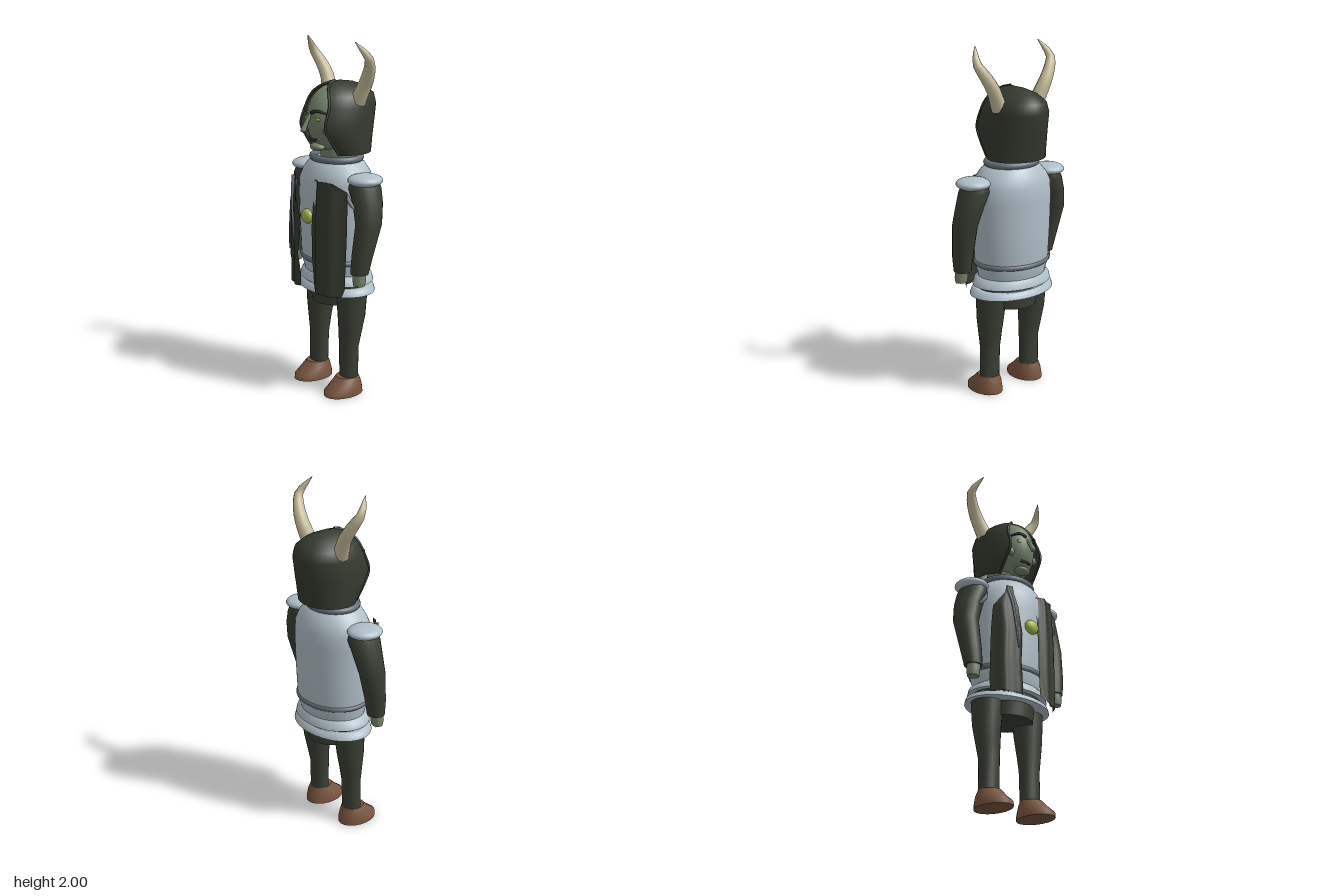
import * as THREE from 'three';

const paint = (name, color, side = THREE.FrontSide) => {
  const m = new THREE.MeshStandardMaterial({ color, side });
  m.name = name;
  return m;
};

// Stacked elliptical rings [y, cx, cz, rx, rz], capped at both ends
function loft(rings, sides = 24) {
  const pos = [], idx = [];
  const addRing = ([y, cx, cz, rx, rz]) => {
    const start = pos.length / 3;
    for (let j = 0; j < sides; j++) {
      const a = (j / sides) * Math.PI * 2;
      pos.push(cx + rx * Math.cos(a), y, cz + rz * Math.sin(a));
    }
    return start;
  };
  rings.forEach(r => addRing(r));
  for (let i = 0; i < rings.length - 1; i++) {
    for (let j = 0; j < sides; j++) {
      const a = i * sides + j, b = i * sides + (j + 1) % sides;
      idx.push(a, a + sides, b, b, a + sides, b + sides);
    }
  }
  [rings[0], rings[rings.length - 1]].forEach((r, top) => {
    const s = addRing(r), c = pos.length / 3;
    pos.push(r[1], r[0], r[2]);
    for (let j = 0; j < sides; j++) {
      const a = s + j, b = s + (j + 1) % sides;
      idx.push(c, top ? b : a, top ? a : b);
    }
  });
  return finish(pos, idx);
}

// Open surface through equal-length rows of points
function sheet(rows) {
  const n = rows[0].length, idx = [];
  for (let i = 0; i < rows.length - 1; i++) {
    for (let j = 0; j < n - 1; j++) {
      const a = i * n + j;
      idx.push(a, a + n, a + 1, a + 1, a + n, a + n + 1);
    }
  }
  return finish(rows.flat(2), idx);
}

function finish(pos, idx) {
  const g = new THREE.BufferGeometry();
  g.setAttribute('position', new THREE.Float32BufferAttribute(pos, 3));
  g.setIndex(idx);
  g.computeVertexNormals();
  return g;
}

// Tube along points whose radius shrinks by a taper function
function tube(points, radius, taper = () => 1, segs = 12, tension = 0.5) {
  const curve = new THREE.CatmullRomCurve3(points.map(p => new THREE.Vector3(...p)), false, 'catmullrom', tension);
  const g = new THREE.TubeGeometry(curve, segs, radius, 10);
  const p = g.attributes.position, v = new THREE.Vector3();
  for (let i = 0; i < p.count; i++) {
    const t = Math.floor(i / 11) / segs, c = curve.getPointAt(t);
    v.fromBufferAttribute(p, i).sub(c).multiplyScalar(taper(t)).add(c);
    p.setXYZ(i, v.x, v.y, v.z);
  }
  return g;
}

const ball = (x, y, z, rx, ry, rz) =>
  new THREE.SphereGeometry(1, 24, 16).scale(rx, ry, rz).translate(x, y, z);

// Oval hoop lying flat around the body
const hoop = (y, rx, rz, r) =>
  new THREE.TorusGeometry(1, r / rx, 10, 40).rotateX(Math.PI / 2).scale(rx, rx, rz).translate(0, y, 0);

export function createModel() {
  const model = new THREE.Group();
  const steel = paint('steel', 0xb0bfc8), darkSteel = paint('dark steel', 0x66717a);
  const cloth = paint('dark green cloth', 0x3a4034);
  const drape = paint('draped cloth', 0x343a2e, THREE.DoubleSide);
  const skin = paint('green skin', 0x74826a), horn = paint('horn', 0xcabf9c, THREE.DoubleSide);
  const leather = paint('brown leather', 0x7a553f), lime = paint('lime', 0xa9ba4c);
  const hair = paint('dark hair', 0x2c3128);
  const add = (name, geo, mat) => {
    const m = new THREE.Mesh(geo, mat);
    m.name = name;
    model.add(m);
  };

  // Armoured torso, belt, collar and skirt
  add('torso', loft([
    [0.70, 0, 0, 0.205, 0.165], [0.77, 0, 0, 0.222, 0.185], [0.95, 0, 0, 0.232, 0.192],
    [1.15, 0, 0, 0.24, 0.195], [1.23, 0, 0, 0.236, 0.19], [1.28, 0, 0, 0.213, 0.172],
    [1.32, 0, 0, 0.175, 0.15], [1.345, 0, 0, 0.14, 0.125]], 40), steel);
  add('belt', hoop(0.783, 0.217, 0.18, 0.016), darkSteel);
  add('collar', hoop(1.35, 0.145, 0.128, 0.02), darkSteel);
  add('upperSkirtBand', loft([
    [0.655, 0, 0, 0.243, 0.188], [0.685, 0, 0, 0.235, 0.18], [0.705, 0, 0, 0.205, 0.165]], 40), steel);
  add('skirtLining', loft([[0.61, 0, 0, 0.215, 0.155], [0.67, 0, 0, 0.215, 0.155]], 32), cloth);
  add('lowerSkirtBand', loft([
    [0.6, 0, 0, 0.265, 0.19], [0.625, 0, 0, 0.258, 0.182], [0.637, 0, 0, 0.235, 0.165]], 40), steel);
  add('chestGem', ball(0, 1.035, 0.198, 0.046, 0.041, 0.027), lime);
  add('hips', loft([[0.52, 0, 0, 0.14, 0.14], [0.61, 0, 0, 0.155, 0.145]]), cloth);

  // Head, neck and central face features
  add('neck', loft([[1.33, 0, -0.02, 0.105, 0.105], [1.44, 0, -0.02, 0.1, 0.105]]), skin);
  add('head', ball(0, 1.568, 0.02, 0.13, 0.188, 0.16), skin);
  add('nose', tube([[0, 1.615, 0.165], [0, 1.57, 0.193], [0, 1.52, 0.22]], 0.016, t => 0.55 + 0.45 * t, 6), skin);
  add('noseTip', ball(0, 1.52, 0.219, 0.016, 0.014, 0.017), skin);
  add('mouth', tube([[-0.036, 1.465, 0.152], [-0.015, 1.458, 0.161], [0, 1.462, 0.163],
    [0.015, 1.458, 0.161], [0.036, 1.465, 0.152]], 0.007), hair);
  add('chin', ball(0, 1.417, 0.127, 0.05, 0.023, 0.037), skin);

  for (const s of [1, -1]) {
    const side = s > 0 ? 'left' : 'right';
    // Face features
    add(side + 'Eye', ball(s * 0.053, 1.577, 0.161, 0.02, 0.009, 0.008), lime);
    add(side + 'Brow', tube([[s * 0.02, 1.612, 0.182], [s * 0.06, 1.625, 0.168], [s * 0.1, 1.608, 0.128]],
      0.009, t => 1.05 - 0.5 * t), hair);
    add(side + 'Cheek', ball(s * 0.086, 1.515, 0.125, 0.025, 0.025, 0.018), skin);
    // Horns sweep out, up and then forward to a point
    add(side + 'Horn', tube([[s * 0.13, 1.665, -0.05], [s * 0.18, 1.77, -0.065], [s * 0.225, 1.845, -0.055],
      [s * 0.26, 1.915, -0.025], [s * 0.222, 2.0, 0.037]], 0.044, t => 1.02 - 0.48 * t - 0.5 * t ** 4, 10, 0.35), horn);
    // Arms
    add(side + 'Pauldron', ball(s * 0.272, 1.264, 0.002, 0.094, 0.036, 0.098), steel);
    add(side + 'Sleeve', loft([
      [0.755, s * 0.305, 0.062, 0.05, 0.05], [0.85, s * 0.312, 0.05, 0.06, 0.058],
      [1.03, s * 0.322, 0.015, 0.068, 0.075], [1.14, s * 0.296, 0.002, 0.074, 0.086],
      [1.22, s * 0.266, 0, 0.08, 0.094], [1.25, s * 0.262, 0, 0.07, 0.085]], 18), cloth);
    add(side + 'Hand', loft([
      [0.69, s * 0.31, 0.068, 0.035, 0.03], [0.72, s * 0.31, 0.068, 0.039, 0.036],
      [0.77, s * 0.305, 0.065, 0.037, 0.036]], 14), skin);
    add(side + 'ArmStrap', tube([[s * 0.245, 1.19, 0.1], [s * 0.265, 1.155, 0.102], [s * 0.29, 1.12, 0.088]],
      0.012, t => 0.5 + Math.sin(t * Math.PI) * 0.5), darkSteel);
    // Legs and boots
    add(side + 'Leg', loft([
      [0.08, s * 0.15, 0.02, 0.06, 0.05], [0.27, s * 0.147, 0.018, 0.06, 0.053],
      [0.36, s * 0.151, 0.012, 0.069, 0.064], [0.46, s * 0.154, 0.005, 0.079, 0.078],
      [0.62, s * 0.148, 0, 0.09, 0.09]], 20), cloth);
    add(side + 'Boot', loft([
      [0, s * 0.152, 0.06, 0.087, 0.122], [0.025, s * 0.152, 0.06, 0.087, 0.12],
      [0.065, s * 0.152, 0.04, 0.077, 0.09], [0.1, s * 0.15, 0.03, 0.062, 0.066]], 20), leather);
  }

  // Hood wraps round the back of the head: [y, cz, width, depth, half sweep]
  const hoodRows = [
    [1.38, -0.04, 0.172, 0.152, 2.36], [1.46, -0.017, 0.176, 0.19, 2.38],
    [1.54, -0.004, 0.174, 0.22, 2.4], [1.64, -0.03, 0.167, 0.208, 2.42],
    [1.695, -0.04, 0.145, 0.188, 2.5], [1.735, -0.035, 0.1, 0.145, 2.6],
    [1.76, -0.025, 0.045, 0.085, 2.8], [1.772, -0.01, 0.003, 0.02, 2.9],
  ].map(([y, cz, w, d, sweep]) => Array.from({ length: 33 }, (_, j) => {
    const t = (j / 16 - 1) * sweep;
    return [w * Math.sin(t), y, cz - d * Math.cos(t)];
  }));
  add('hood', sheet(hoodRows), drape);
  for (const edge of [0, 32]) {
    add('hoodHem', tube(hoodRows.map(r => r[edge]), 0.007, () => 1, 24), drape);
  }

  // Hanging cloth panels follow the chest with soft folds: [y, inner x, outer x]
  const panel = rows => sheet(rows.map(([y, x0, x1]) => Array.from({ length: 15 }, (_, j) => {
    const x = x0 + (x1 - x0) * j / 14, a = Math.abs(x);
    const z = 0.205 - 0.095 * Math.max(0, (a - 0.14) / 0.11) ** 1.4
      + 0.009 * Math.sin(a * 75) - 0.018 * Math.max(0, (y - 0.95) / 0.3);
    return [x, y, z];
  })));
  add('leftPanel', panel([[1.25, 0.05, 0.19], [1.2, 0.048, 0.243], [0.98, 0.046, 0.25],
    [0.8, 0.05, 0.245], [0.65, 0.062, 0.24], [0.61, 0.1, 0.228]]), drape);
  add('rightPanel', panel([[1.25, -0.13, -0.165], [1.2, -0.125, -0.178], [1.12, -0.105, -0.222],
    [0.98, -0.068, -0.232], [0.8, -0.085, -0.236], [0.68, -0.068, -0.237], [0.61, -0.07, -0.235]]), drape);
  add('panelStrap', tube([[-0.165, 1.235, 0.18], [-0.14, 1.1, 0.205], [-0.112, 0.87, 0.216]],
    0.01, t => 1 - 0.5 * t), darkSteel);
  return model;
}
